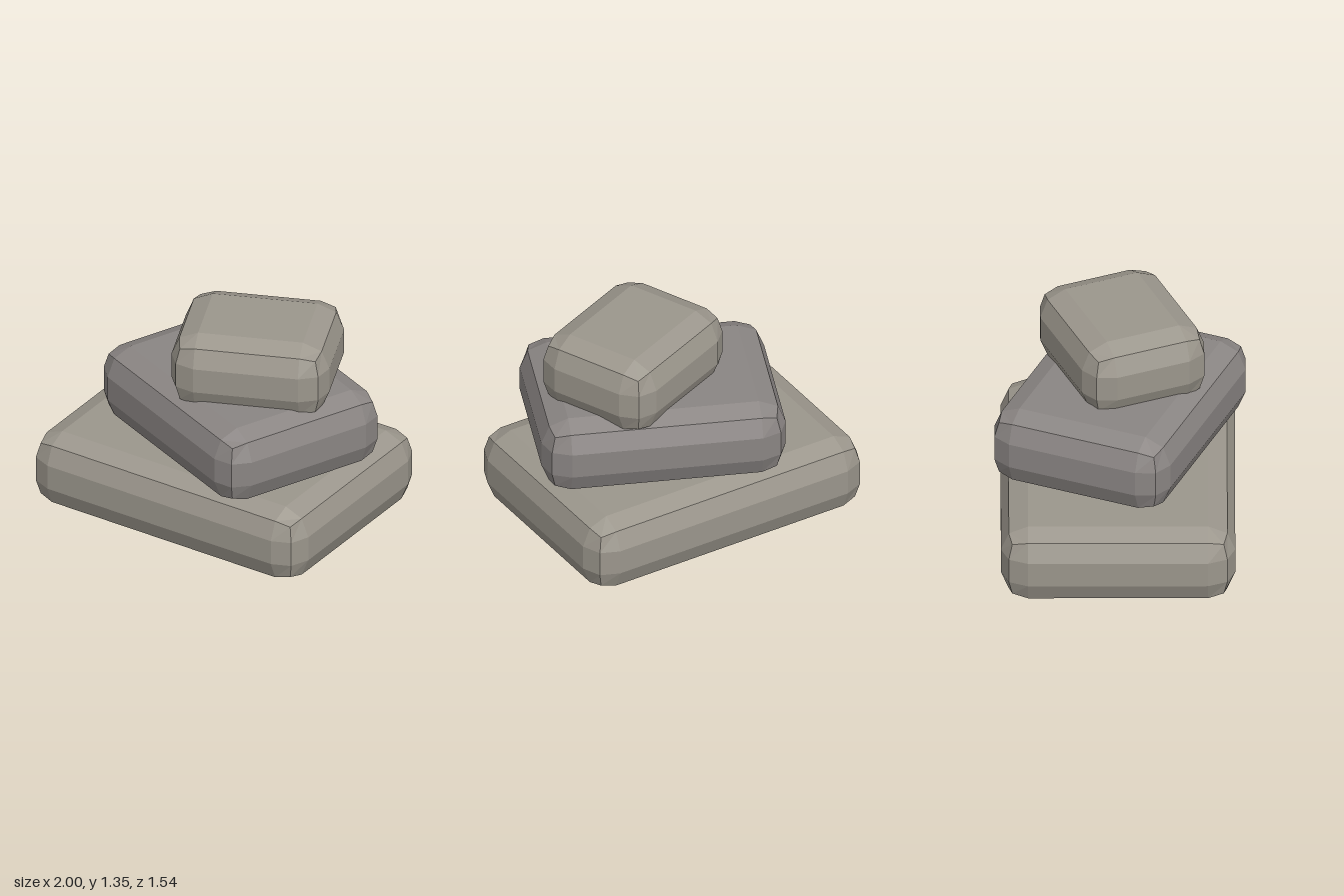
import * as THREE from 'three';
import { RoundedBoxGeometry } from 'three/addons/geometries/RoundedBoxGeometry.js';

const HEIGHT = 0.477;
const BEVEL = 0.16;

// Each stone: width, depth, base height, x offset, turn about y, color
const STONES = [
  { name: 'bottomStone', w: 1.905, d: 1.385, y: 0, x: 0, turn: 0.1, color: 0x9b968c },
  { name: 'middleStone', w: 1.462, d: 1.128, y: 0.477, x: 0.127, turn: -0.3, color: 0x8a8583 },
  { name: 'topStone', w: 0.95, d: 0.784, y: 0.868, x: 0.258, turn: 0.5, color: 0x9b968c },
];

// A faceted block with one 45 degree step in every rounded edge
function createStone({ name, w, d, y, x, turn, color }) {
  const geometry = new RoundedBoxGeometry(w, HEIGHT, d, 1, BEVEL);
  geometry.computeVertexNormals();
  const material = new THREE.MeshStandardMaterial({ color, flatShading: true });
  const stone = new THREE.Mesh(geometry, material);
  stone.name = name;
  stone.position.set(x, y + HEIGHT / 2, 0);
  stone.rotation.y = turn;
  return stone;
}

export function createModel() {
  const group = new THREE.Group();
  group.name = 'stoneStack';
  for (const spec of STONES) group.add(createStone(spec));
  return group;
}
